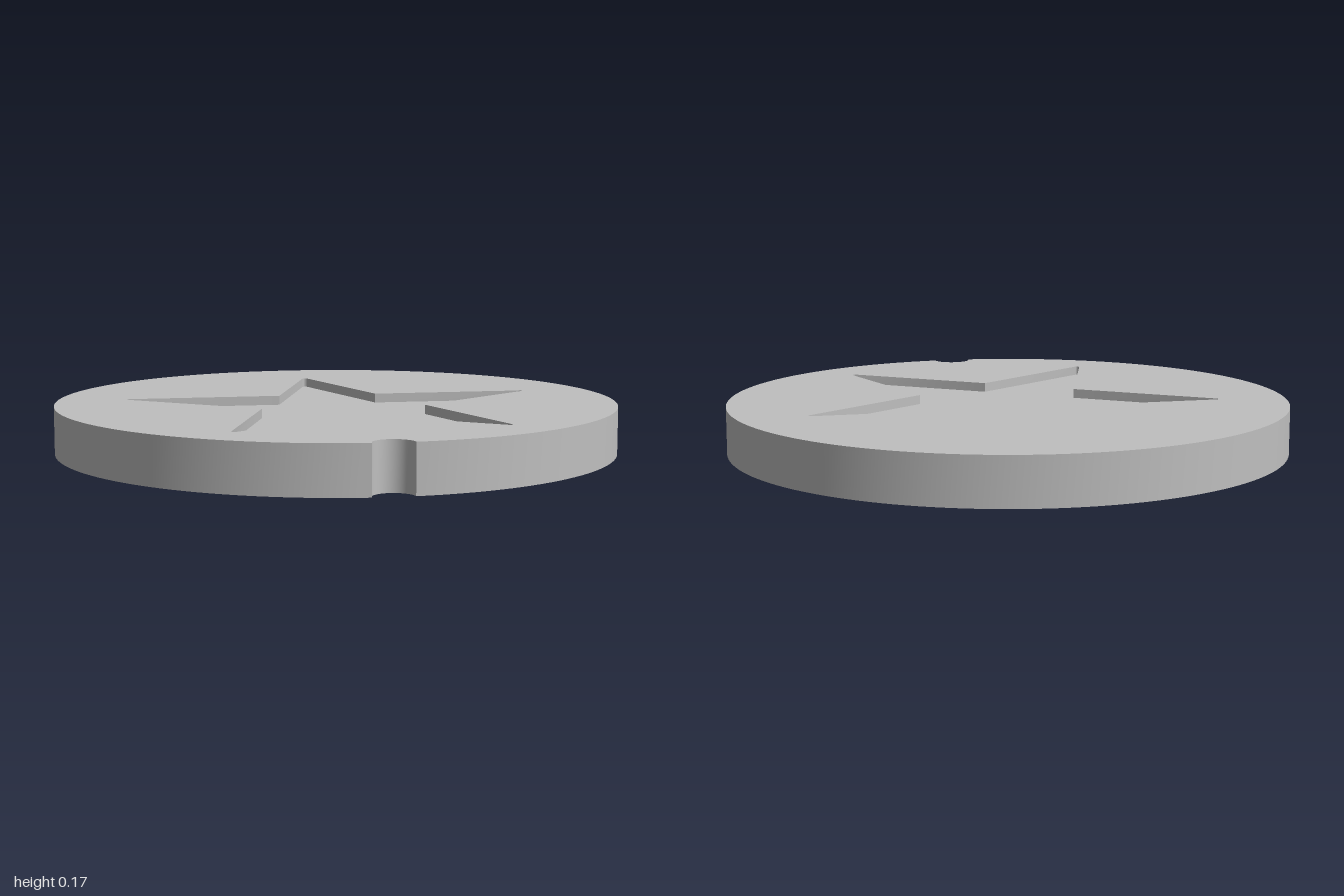
import * as THREE from 'three';
import { toCreasedNormals } from 'three/addons/utils/BufferGeometryUtils.js';

const HEIGHT = 0.168, FLOOR = 0.135;

// Points along an arc, in plan (plan y points to the back)
function arc(cx, cy, r, a0, a1, n) {
  return Array.from({ length: n + 1 }, (_, i) => {
    const a = a0 + (a1 - a0) * i / n;
    return new THREE.Vector2(cx + r * Math.cos(a), cy + r * Math.sin(a));
  });
}

// Round outline with a small half-round notch at the front
function discOutline() {
  const q = 0.069, a = 2 * Math.asin(q / 2);
  return [
    ...arc(0, 0, 1, -Math.PI / 2 + a, Math.PI * 1.5 - a, 144),
    ...arc(0, -1, q, Math.PI - a / 2, a / 2, 20).slice(1, -1),
  ];
}

// Five-pointed star with slightly rounded tips
function starOutline() {
  const cy = -0.07, inner = 0.305, outer = inner * 2.618, tip = 0.0105;
  const d = outer - tip / Math.sin(Math.PI / 10), points = [];
  for (let k = 0; k < 5; k++) {
    const a = Math.PI / 2 + k * Math.PI * 0.4, b = a + Math.PI / 5, s = Math.PI * 0.4;
    points.push(...arc(d * Math.cos(a), cy + d * Math.sin(a), tip, a - s, a + s, 8));
    points.push(new THREE.Vector2(inner * Math.cos(b), cy + inner * Math.sin(b)));
  }
  return points;
}

// Upright wall along a closed outline, facing outwards when counter-clockwise
function wall(points, y0, y1) {
  const pos = [];
  points.forEach((p, i) => {
    const q = points[(i + 1) % points.length];
    pos.push(p.x, y0, -p.y, q.x, y0, -q.y, q.x, y1, -q.y);
    pos.push(p.x, y0, -p.y, q.x, y1, -q.y, p.x, y1, -p.y);
  });
  const g = new THREE.BufferGeometry();
  g.setAttribute('position', new THREE.Float32BufferAttribute(pos, 3));
  g.computeVertexNormals();
  return toCreasedNormals(g, 0.5);
}

// Flat face at a height, facing up
function face(shape, y) {
  return new THREE.ShapeGeometry(shape).rotateX(-Math.PI / 2).translate(0, y, 0);
}

export function createModel() {
  const group = new THREE.Group();
  const grey = new THREE.MeshStandardMaterial({ color: 0xbfbfbf });
  grey.name = 'grey';
  const add = (name, geometry) => {
    const mesh = new THREE.Mesh(geometry, grey);
    mesh.name = name;
    group.add(mesh);
    return mesh;
  };

  const disc = discOutline(), star = starOutline();

  // Disc body
  const top = new THREE.Shape(disc);
  top.holes.push(new THREE.Path(star));
  add('discTop', face(top, HEIGHT));
  add('discRim', wall(disc, 0, HEIGHT));
  const under = disc.map(p => new THREE.Vector2(p.x, -p.y)).reverse();
  add('discUnderside', new THREE.ShapeGeometry(new THREE.Shape(under)).rotateX(Math.PI / 2));

  // Star recess
  add('starFloor', face(new THREE.Shape(star), FLOOR));
  add('starWall', wall([...star].reverse(), FLOOR, HEIGHT));
  return group;
}
